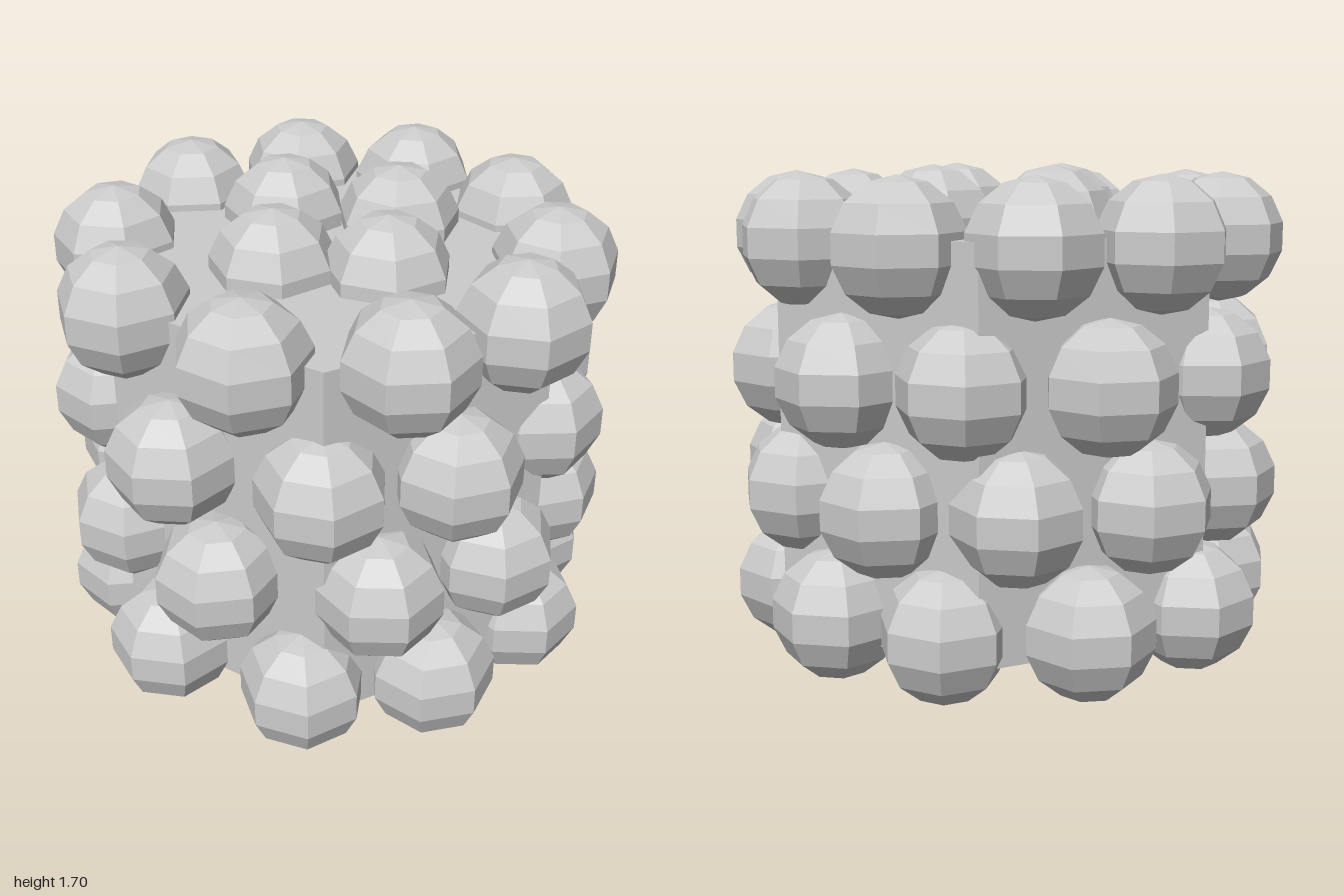
import * as THREE from 'three';

export function createModel() {
  const model = new THREE.Group();
  model.name = 'studdedDrum';
  const material = new THREE.MeshStandardMaterial({ color: 0xcccccc, flatShading: true });
  const ballGeometry = new THREE.SphereGeometry(0.222, 7, 7);

  // Hexagonal core with a corner on each side and a flat front
  const core = new THREE.Mesh(
    new THREE.CylinderGeometry(0.82, 0.82, 1.34, 6, 1, false, Math.PI / 2), material);
  core.name = 'core';
  core.position.set(0.01, 0.81, -0.01);
  model.add(core);

  function addBall(parent, name, x, y, z, turn) {
    const ball = new THREE.Mesh(ballGeometry, material);
    ball.name = name;
    ball.position.set(x, y, z);
    ball.rotation.y = turn;
    parent.add(ball);
  }

  // Rings of ten balls: height, then bearings in degrees from the front towards +x
  const rings = [
    [0.225, [344.5, 25, 59, 95, 131, 166, 200, 236, 272, 309]],
    [0.615, [3, 44, 78, 113, 149, 184, 218, 253, 289, 326]],
    [1.015, [350, 30, 64, 99.5, 135.5, 170, 205, 241, 278, 311]],
    [1.455, [12, 50, 85, 118, 152.5, 188.5, 222, 256.5, 294, 331.5]],
  ];
  rings.forEach(([y, bearings], level) => {
    const ring = new THREE.Group();
    ring.name = `ballRing${level + 1}`;
    bearings.forEach((degrees, i) => {
      const a = THREE.MathUtils.degToRad(degrees);
      const radius = 0.765 - 0.012 * (1 - Math.cos(a));
      addBall(ring, `ball${i + 1}`, 0.005 + radius * Math.sin(a), y, radius * Math.cos(a), a);
    });
    model.add(ring);
  });

  // Four balls half sunk into the top face
  const topBalls = new THREE.Group();
  topBalls.name = 'topBalls';
  [[0.07, -0.32], [-0.305, -0.165], [0.255, 0.06], [-0.09, 0.22]].forEach(([x, z], i) => {
    addBall(topBalls, `topBall${i + 1}`, x, 1.48, z, Math.atan2(x, z));
  });
  model.add(topBalls);

  return model;
}
